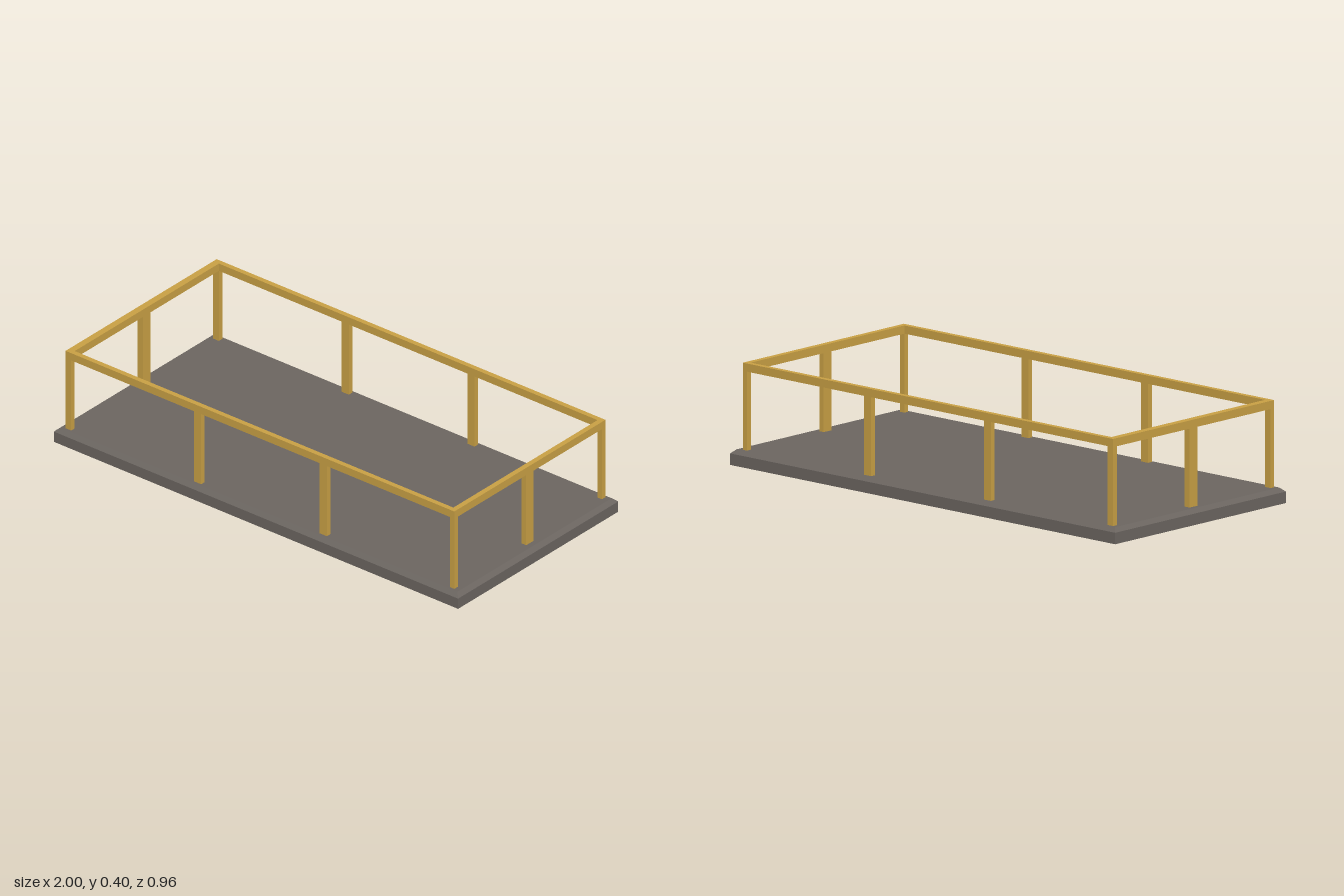
import * as THREE from 'three';

const gold = new THREE.MeshStandardMaterial({ color: 0xc8a044 });
gold.name = 'railing gold';
const grey = new THREE.MeshStandardMaterial({ color: 0x6b6560, side: THREE.DoubleSide });
grey.name = 'platform grey';

// Hollow platform: rectangular sections [halfX, y, halfZ] joined upward, closed by the deck
function platformGeometry() {
  const sections = [[1, 0, 0.48], [1, 0.045, 0.48], [0.982, 0.061, 0.462]];
  const rings = sections.map(([x, y, z]) => [[x, y, z], [x, y, -z], [-x, y, -z], [-x, y, z]]);
  const points = [];
  const quad = (a, b, c, d) => points.push(...a, ...b, ...c, ...a, ...c, ...d);
  for (let r = 0; r < rings.length - 1; r++) {
    for (let i = 0; i < 4; i++) {
      const j = (i + 1) % 4;
      quad(rings[r][i], rings[r][j], rings[r + 1][j], rings[r + 1][i]);
    }
  }
  quad(...rings[2]);
  const geometry = new THREE.BufferGeometry();
  geometry.setAttribute('position', new THREE.Float32BufferAttribute(points, 3));
  geometry.computeVertexNormals();
  return geometry;
}

export function createModel() {
  const model = new THREE.Group();
  model.name = 'railedPlatform';

  const platform = new THREE.Mesh(platformGeometry(), grey);
  platform.name = 'platform';
  model.add(platform);

  const railing = new THREE.Group();
  railing.name = 'railing';
  model.add(railing);

  // Box given by its extents on each axis
  function bar(name, x0, x1, y0, y1, z0, z1) {
    const mesh = new THREE.Mesh(new THREE.BoxGeometry(x1 - x0, y1 - y0, z1 - z0), gold);
    mesh.position.set((x0 + x1) / 2, (y0 + y1) / 2, (z0 + z1) / 2);
    mesh.name = name;
    railing.add(mesh);
  }

  const deck = 0.061, under = 0.37, top = 0.402;
  const ends = { right: [-0.964, -0.936], left: [0.937, 0.959] };
  const sides = { front: [0.432, 0.453], back: [-0.453, -0.432] };

  // Long rails with their middle posts
  for (const [side, [z0, z1]] of Object.entries(sides)) {
    bar(side + 'Rail', ends.right[0], ends.left[1], under, top, z0, z1);
    for (const x of [-0.311, 0.311]) bar(side + 'Post', x - 0.018, x + 0.018, deck, under, z0, z1);
  }

  // End rails with their middle and corner posts
  for (const [end, [x0, x1]] of Object.entries(ends)) {
    bar(end + 'Rail', x0, x1, under, top, sides.back[1], sides.front[0]);
    bar(end + 'Post', x0, x1, deck, under, -0.022, 0.022);
    for (const [z0, z1] of Object.values(sides)) bar(end + 'CornerPost', x0, x1, deck, under, z0, z1);
  }
  return model;
}
